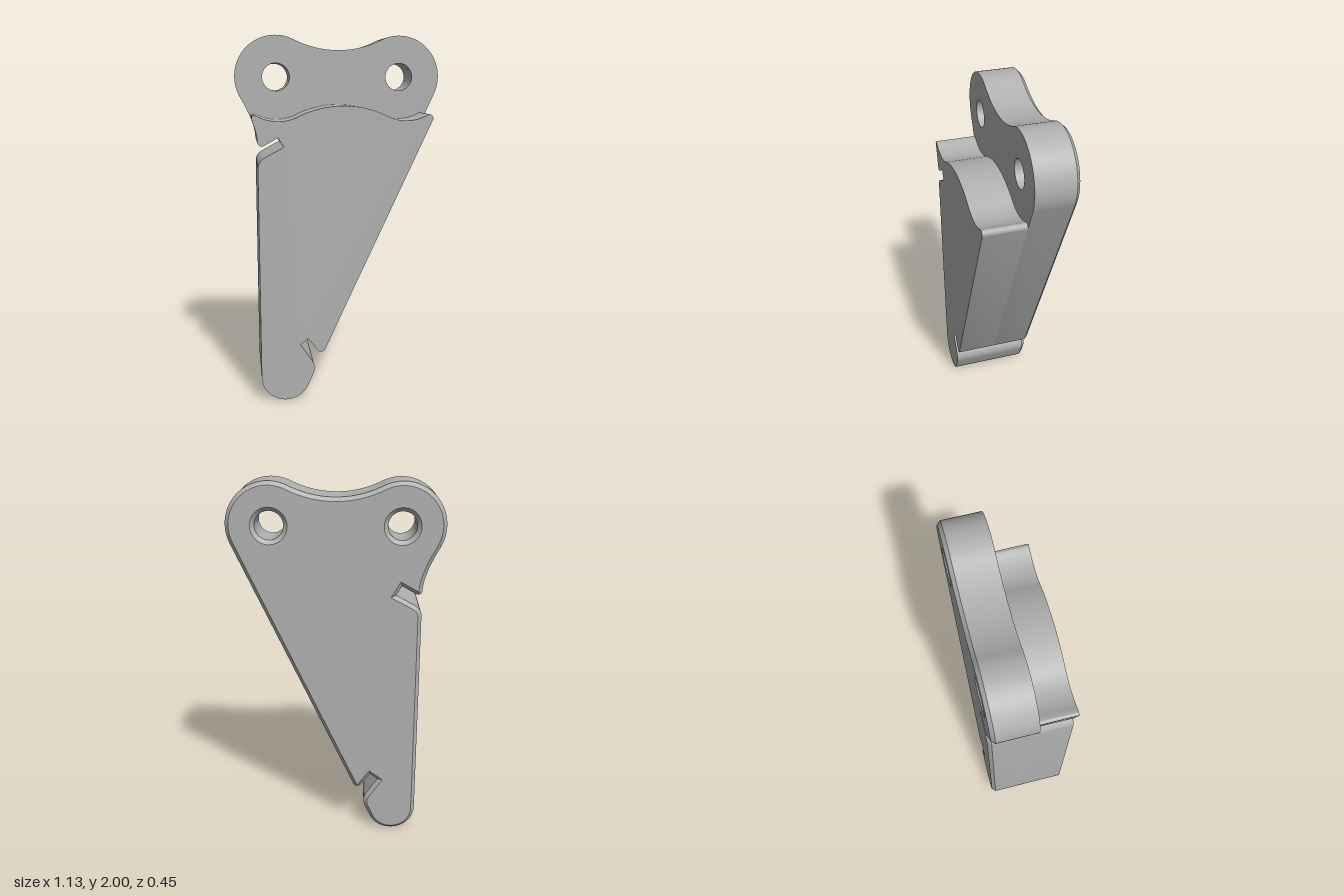
import * as THREE from 'three';
import { toCreasedNormals } from 'three/addons/utils/BufferGeometryUtils.js';

const DEPTH = 0.227, CHAMFER = 0.02;
const LOBE_X = 0.3425, LOBE_Y = 1.775, LOBE_R = 0.225;
const rad = (d) => (d * Math.PI) / 180;

// Points along an arc, angles in degrees
function arc(cx, cy, r, a0, a1, n = 24) {
  return Array.from({ length: n + 1 }, (_, i) => {
    const a = rad(a0 + ((a1 - a0) * i) / n);
    return [cx + r * Math.cos(a), cy + r * Math.sin(a)];
  });
}

// Turns [x, y, radius?] corners into a closed loop with filleted corners
function trace(corners) {
  const out = [];
  const n = corners.length;
  corners.forEach(([x, y, r], i) => {
    const c = new THREE.Vector2(x, y);
    if (!r) { out.push(c); return; }
    const p = corners[(i + n - 1) % n], q = corners[(i + 1) % n];
    const u = new THREE.Vector2(p[0] - x, p[1] - y).normalize();
    const v = new THREE.Vector2(q[0] - x, q[1] - y).normalize();
    const half = Math.acos(u.dot(v)) / 2;
    const mid = u.clone().add(v).normalize().multiplyScalar(r / Math.sin(half)).add(c);
    const s = u.multiplyScalar(r / Math.tan(half)).add(c).sub(mid);
    const e = v.multiplyScalar(r / Math.tan(half)).add(c).sub(mid);
    const sweep = Math.atan2(s.cross(e), s.dot(e));
    for (let k = 0; k <= 8; k++) {
      out.push(s.clone().rotateAround(new THREE.Vector2(), (sweep * k) / 8).add(mid));
    }
  });
  return out.filter((p, i) => p.distanceTo(out[(i + 1) % out.length]) > 1e-4);
}

// Mitred inset of a counter-clockwise loop
function inset(loop, d) {
  const n = loop.length;
  const normal = (a, b) => new THREE.Vector2(a.y - b.y, b.x - a.x).normalize();
  return loop.map((p, i) => {
    const n0 = normal(loop[(i + n - 1) % n], p), n1 = normal(p, loop[(i + 1) % n]);
    const m = n0.clone().add(n1);
    return p.clone().add(m.multiplyScalar(d / (1 + n0.dot(n1))));
  });
}

// Wall between a back loop and a front loop
function wall(pos, back, zb, front, zf) {
  back.forEach((a, i) => {
    const j = (i + 1) % back.length, b = back[j], c = front[j], d = front[i];
    pos.push(a.x, a.y, zb, b.x, b.y, zb, c.x, c.y, zf);
    pos.push(a.x, a.y, zb, c.x, c.y, zf, d.x, d.y, zf);
  });
}

// Flat face with holes, facing +z or -z
function cap(pos, loop, holes, z, facing) {
  const pts = [loop, ...holes].flat();
  for (const f of THREE.ShapeUtils.triangulateShape(loop.slice(), holes.map((h) => h.slice()))) {
    const [a, b, c] = f.map((i) => pts[i]);
    const ccw = (b.x - a.x) * (c.y - a.y) - (b.y - a.y) * (c.x - a.x) > 0;
    const tri = ccw === facing > 0 ? [a, b, c] : [a, c, b];
    tri.forEach((p) => pos.push(p.x, p.y, z));
  }
}

function makeMesh(name, pos, material) {
  const g = new THREE.BufferGeometry();
  g.setAttribute('position', new THREE.Float32BufferAttribute(pos, 3));
  const mesh = new THREE.Mesh(toCreasedNormals(g, rad(30)), material);
  mesh.name = name;
  return mesh;
}

export function createModel() {
  const grey = new THREE.MeshStandardMaterial({ color: 0xb0b0b0 });
  grey.name = 'grey';
  const group = new THREE.Group();
  group.name = 'bracket';

  // Rounded foot, lower notch and pointed tip, shared by both layers
  const foot = [
    ...arc(-0.32, 0.135, 0.135, 180, 335.1),
    [-0.149, 0.184, 0.08], [-0.24, 0.317], [-0.195, 0.35], [-0.119, 0.247, 0.024],
  ];
  // Upper notch on the straight side
  const notch = [[-0.455, 1.399, 0.022], [-0.347, 1.46], [-0.318, 1.41], [-0.455, 1.336, 0.065]];
  // Concave neck between the lobe and the upper notch
  const neck = new THREE.QuadraticBezierCurve(
    new THREE.Vector2(-0.545, 1.675), new THREE.Vector2(-0.46, 1.53), new THREE.Vector2(-0.455, 1.44),
  ).getPoints(16).map((p) => [p.x, p.y]);

  // Back plate with two lobes
  const plate = trace([
    ...foot,
    ...arc(LOBE_X, LOBE_Y, LOBE_R, -24.9, 116.3, 32),
    ...arc(0, 2.468, 0.548, -63.7, -116.3),
    ...arc(-LOBE_X, LOBE_Y, LOBE_R, 63.7, 206.3, 32),
    ...neck, ...notch,
  ]);
  // Front layer with a wavy top edge
  const front = trace([
    ...foot,
    [0.509, 1.599, 0.02],
    ...arc(LOBE_X, LOBE_Y, 0.23, -64.9, -116.3),
    ...arc(0, 1.082, 0.543, 63.7, 116.3),
    ...arc(-LOBE_X, LOBE_Y, 0.23, -63.7, -115.1),
    [-0.488, 1.588, 0.014],
    ...neck.slice(8), ...notch,
  ]);

  // Bolt holes, wider at the back
  const ring = (x, r) => arc(x, LOBE_Y, r, 360, 0, 40).slice(1).map((p) => new THREE.Vector2(...p));
  const holes = [-LOBE_X, LOBE_X].map((x) => ring(x, 0.075));
  const sinks = [-LOBE_X, LOBE_X].map((x) => ring(x, 0.096));

  const zc = -DEPTH + CHAMFER;
  const backLoop = inset(plate, CHAMFER);
  const platePos = [];
  wall(platePos, plate, zc, plate, 0);
  wall(platePos, backLoop, -DEPTH, plate, zc);
  holes.forEach((h, i) => {
    wall(platePos, h, zc, h, 0);
    wall(platePos, sinks[i], -DEPTH, h, zc);
  });
  cap(platePos, plate, holes, 0, 1);
  cap(platePos, backLoop, sinks, -DEPTH, -1);
  group.add(makeMesh('backPlate', platePos, grey));

  const frontPos = [];
  wall(frontPos, front, 0, front, DEPTH);
  cap(frontPos, front, [], DEPTH, 1);
  group.add(makeMesh('frontLayer', frontPos, grey));

  return group;
}
